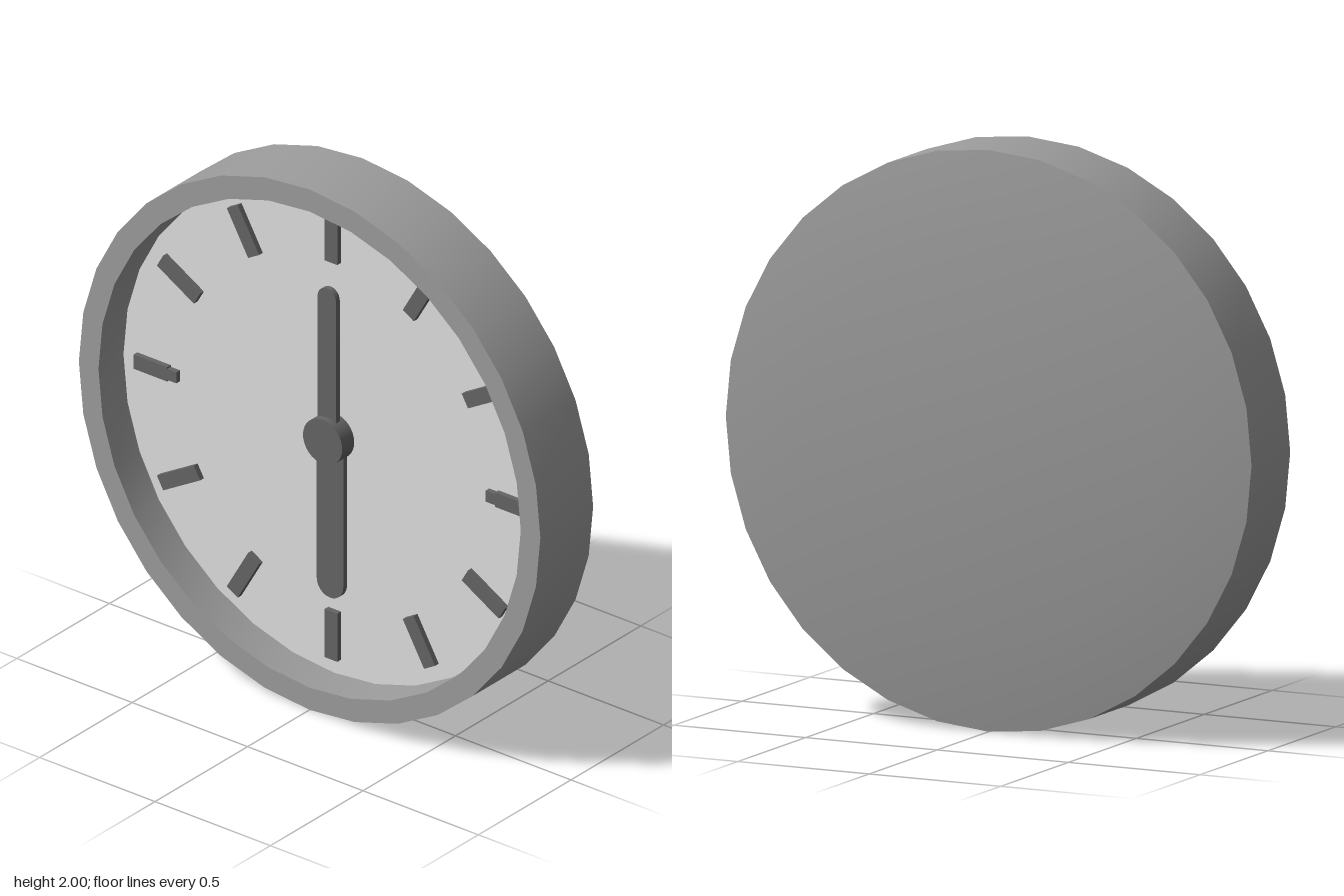
import * as THREE from 'three';
import { toCreasedNormals } from 'three/addons/utils/BufferGeometryUtils.js';

export function createModel() {
  const clock = new THREE.Group();
  clock.name = 'wallClock';
  const mat = (name, color) => {
    const m = new THREE.MeshStandardMaterial({ color });
    m.name = name;
    return m;
  };
  const caseGrey = mat('caseGrey', 0x9c9c9c);
  const dialGrey = mat('dialLightGrey', 0xe0e0e0);
  const darkGrey = mat('darkGrey', 0x656565);

  const FACE_Z = 0.03;
  const add = (name, geometry, material, z = 0, angle = 0) => {
    const mesh = new THREE.Mesh(geometry, material);
    mesh.name = name;
    mesh.position.set(0, 1, z);
    mesh.rotation.z = angle;
    clock.add(mesh);
    return mesh;
  };

  // Case: shallow domed back, straight side, flat rim and inner wall
  const profile = [[0, -0.165], [0.69, -0.165], [1, -0.12], [1, 0.165], [0.915, 0.165], [0.915, FACE_Z]]
    .map(([r, z]) => new THREE.Vector2(r, z));
  const body = new THREE.LatheGeometry(profile, 32).rotateX(Math.PI / 2);
  add('case', toCreasedNormals(body, 0.5), caseGrey);

  // Dial
  add('dial', new THREE.CircleGeometry(0.915, 32), dialGrey, FACE_Z);

  // Twelve hour marks, those at three and nine stepped at the inner end
  for (let i = 0; i < 12; i++) {
    const angle = -i * Math.PI / 6;
    const stepped = i % 6 === 3;
    const inner = stepped ? 0.71 : 0.67;
    const bar = (from, to, width) => add('hourMark',
      new THREE.BoxGeometry(width, to - from, 0.02).translate(0, (from + to) / 2, 0.01),
      darkGrey, FACE_Z, angle);
    bar(inner, 0.855, 0.055);
    if (stepped) bar(0.67, inner, 0.042);
  }

  // Hands with rounded tips
  const hand = (name, width, length, z, angle) => {
    const r = width / 2;
    const s = new THREE.Shape();
    s.moveTo(-r, 0);
    s.lineTo(r, 0);
    s.lineTo(r, length - r);
    s.absarc(0, length - r, r, 0, Math.PI, false);
    s.closePath();
    const g = new THREE.ExtrudeGeometry(s, { depth: 0.02, bevelEnabled: false, curveSegments: 8 });
    add(name, toCreasedNormals(g, 0.6), darkGrey, z, angle);
  };
  hand('minuteHand', 0.08, 0.58, 0.052, 0);
  hand('hourHand', 0.115, 0.615, 0.035, Math.PI);

  // Centre hub
  const hub = new THREE.CylinderGeometry(0.085, 0.085, 0.065, 32).rotateX(Math.PI / 2);
  add('hub', hub, darkGrey, FACE_Z + 0.0325);

  return clock;
}
